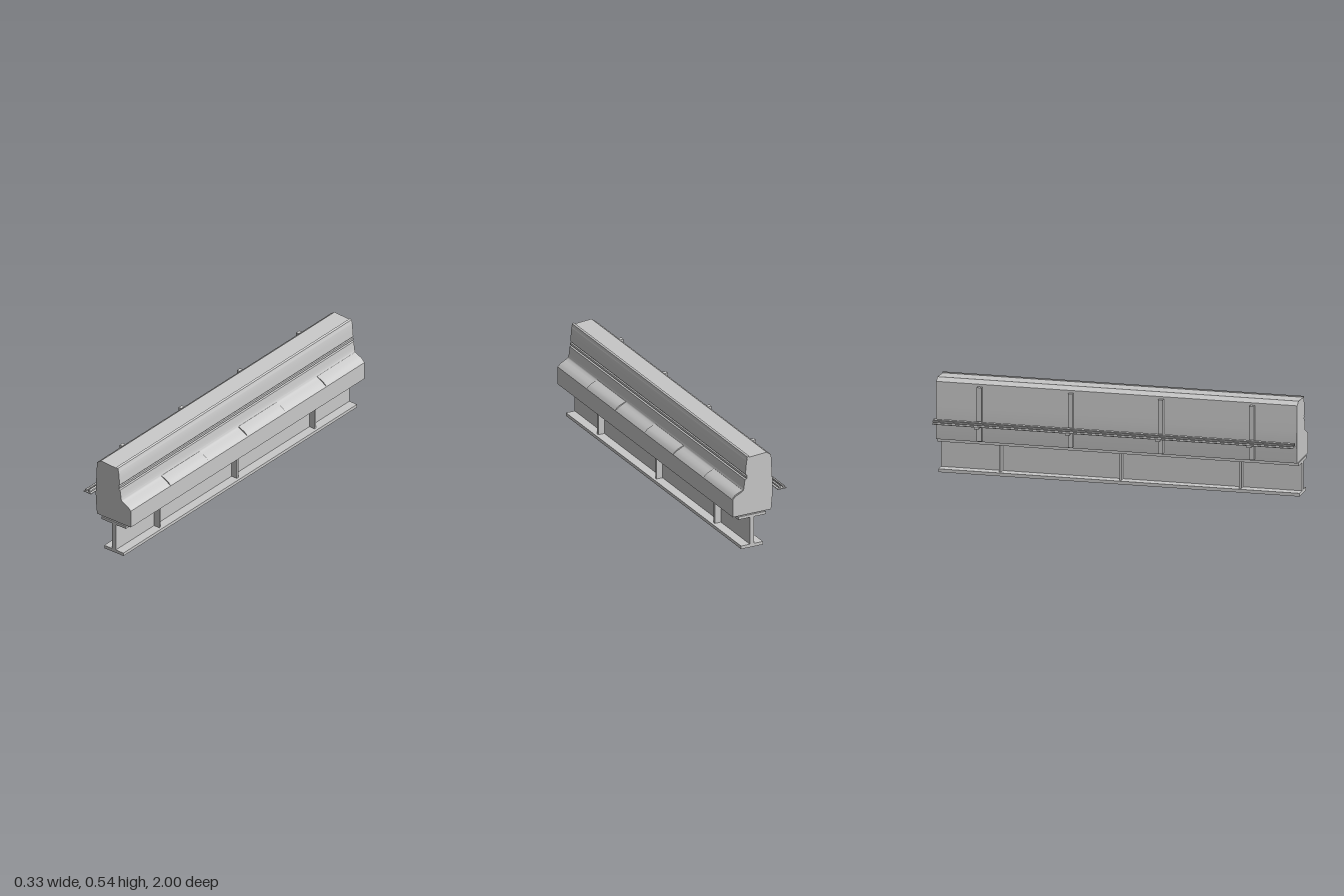
import * as THREE from 'three';
import { toCreasedNormals } from 'three/addons/utils/BufferGeometryUtils.js';

export function createModel() {
  const model = new THREE.Group();
  const grey = new THREE.MeshStandardMaterial({ color: 0xc8c8c8 });
  grey.name = 'lightGrey';

  function add(geometry, name) {
    const mesh = new THREE.Mesh(geometry, grey);
    mesh.name = name;
    model.add(mesh);
    return mesh;
  }

  // Box given by its extents
  function box(name, x0, x1, y0, y1, z0, z1) {
    add(new THREE.BoxGeometry(x1 - x0, y1 - y0, z1 - z0), name)
      .position.set((x0 + x1) / 2, (y0 + y1) / 2, (z0 + z1) / 2);
  }

  // Cross-section in x, y swept along z
  function sweep(name, points, z0 = -1, z1 = 1) {
    const shape = new THREE.Shape(points.map(([x, y]) => new THREE.Vector2(x, y)));
    const geometry = new THREE.ExtrudeGeometry(shape, { depth: z1 - z0, bevelEnabled: false });
    geometry.translate(0, 0, z0);
    add(toCreasedNormals(geometry, 0.55), name);
  }

  // Main barrier body with stepped face, groove and top lip
  sweep('body', [
    [-0.072, 0.197], [0.161, 0.197], [0.161, 0.298], [0.15, 0.309], [0.138, 0.318],
    [0.118, 0.328], [0.102, 0.336], [0.097, 0.341], [0.094, 0.35], [0.091, 0.372],
    [0.087, 0.402], [0.076, 0.406], [0.076, 0.427], [0.084, 0.432],
    [0.081, 0.468], [0.077, 0.508], [0.074, 0.517], [0.069, 0.524], [0.064, 0.529],
    [-0.045, 0.536], [-0.072, 0.517], [-0.079, 0.38], [-0.081, 0.32], [-0.079, 0.27],
  ]);
  sweep('topLip', [[0.064, 0.526], [0.071, 0.523], [0.077, 0.517], [0.072, 0.532], [0.062, 0.537]]);
  sweep('grooveStrip', [[0.077, 0.412], [0.084, 0.411], [0.084, 0.423], [0.077, 0.425]]);

  // Raised panels along the lower ledge
  for (const z of [0.5, -0.16, -0.833]) {
    sweep('ledgePanel', [
      [0.099, 0.338], [0.118, 0.328], [0.138, 0.318], [0.15, 0.309], [0.163, 0.302],
      [0.154, 0.313], [0.142, 0.323], [0.122, 0.332], [0.1, 0.341],
    ], z - 0.163, z + 0.163);
  }

  // I-beam support
  box('beamBottomFlange', -0.022, 0.11, 0, 0.018, -1, 1);
  box('beamWeb', 0.032, 0.057, 0.018, 0.175, -1, 1);
  box('beamTopFlange', -0.04, 0.127, 0.175, 0.191, -1, 1);
  for (const z of [0.667, 0.003, -0.663]) {
    box('webStiffener', -0.006, 0.032, 0.018, 0.175, z - 0.006, z + 0.006);
    box('webStiffener', 0.057, 0.094, 0.018, 0.175, z - 0.006, z + 0.006);
  }

  // Rear posts with brackets
  for (const z of [-0.755, -0.25, 0.25, 0.755]) {
    box('rearPost', -0.103, -0.081, 0.207, 0.506, z - 0.013, z + 0.013);
    box('trayBracket', -0.163, -0.103, 0.29, 0.301, z - 0.013, z + 0.013);
  }

  // Cable tray carrying two six-sided cables
  box('cableTray', -0.165, -0.113, 0.301, 0.305, -1, 1);
  for (const [x, y, r] of [[-0.15, 0.314, 0.0065], [-0.126, 0.316, 0.0085]]) {
    const geometry = new THREE.CylinderGeometry(r, r, 2, 6).toNonIndexed();
    geometry.rotateX(Math.PI / 2);
    add(toCreasedNormals(geometry, 1.2), 'cable').position.set(x, y, 0);
  }

  return model;
}
